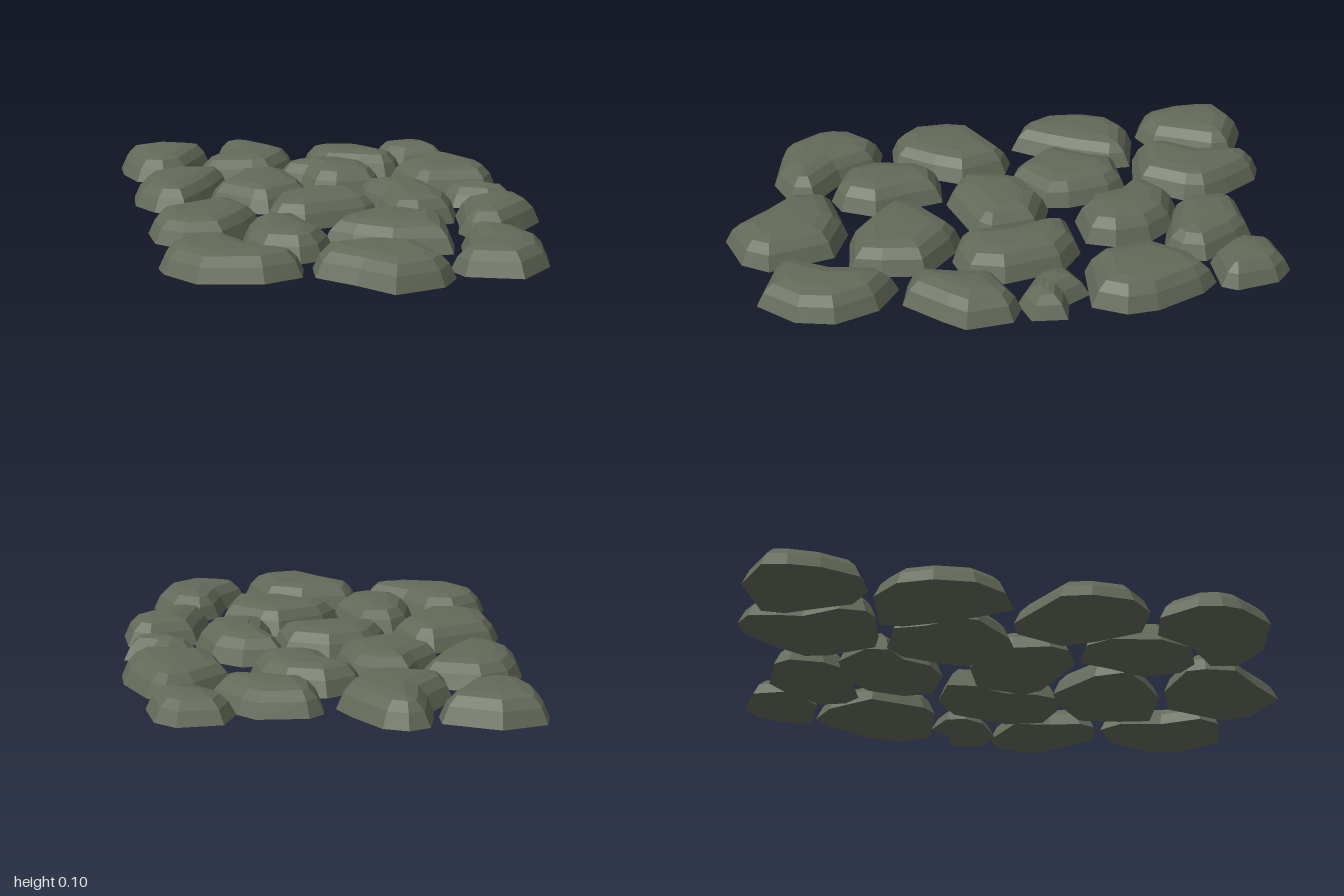
import * as THREE from 'three';

const stoneGrey = new THREE.MeshStandardMaterial({ color: 0x636a59 });

// Side profile shared by all stones: [inset, share of the height]
const PROFILE = [[0, 0.03], [0.022, 0.55], [0.05, 0.86], [0.09, 0.97]];

// Shrinks a clockwise outline by moving each corner along its mean edge normal
function inset(pts, d) {
  const n = pts.length;
  const normal = (a, b) => new THREE.Vector2(b.y - a.y, a.x - b.x).normalize();
  return pts.map((p, i) => {
    const n1 = normal(pts[(i + n - 1) % n], p), n2 = normal(p, pts[(i + 1) % n]);
    const m = n1.clone().add(n2).normalize();
    return p.clone().addScaledVector(m, -d / Math.max(0.75, m.dot(n1)));
  });
}

// One faceted stone: outline in hundredths (x, z pairs, clockwise from above)
function makeStone(name, height, tiltX, tiltZ, outline) {
  const pts = [];
  for (let i = 0; i < outline.length; i += 2) {
    pts.push(new THREE.Vector2(outline[i] / 100, outline[i + 1] / 100));
  }
  const n = pts.length;
  const c = pts.reduce((s, p) => s.add(p), new THREE.Vector2()).divideScalar(n);

  // Rings climb the profile; the tilt grows with height so the base stays flat
  const rings = PROFILE.map(([d, t], k) => inset(pts, d).map(p => {
    const lean = k ? t * (tiltX * (p.x - c.x) + tiltZ * (p.y - c.y)) : 0;
    return [p.x, height * t + lean, p.y];
  }));
  const top = [c.x, height, c.y], base = [c.x, 0, c.y];

  const pos = [];
  const tri = (...corners) => corners.forEach(v => pos.push(...v));
  for (let i = 0; i < n; i++) {
    const j = (i + 1) % n;
    for (let k = 0; k < rings.length - 1; k++) {
      const lo = rings[k], hi = rings[k + 1];
      tri(lo[j], lo[i], hi[i]);
      tri(lo[j], hi[i], hi[j]);
    }
    const last = rings[rings.length - 1];
    tri(last[j], last[i], top);
    tri(rings[0][i], rings[0][j], base);
  }
  const geo = new THREE.BufferGeometry();
  geo.setAttribute('position', new THREE.Float32BufferAttribute(pos, 3));
  geo.computeVertexNormals(); // unshared corners keep the facets flat
  const mesh = new THREE.Mesh(geo, stoneGrey);
  mesh.name = name;
  return mesh;
}

export function createModel() {
  const group = new THREE.Group();
  group.name = 'steppingStones';
  const stone = (...args) => group.add(makeStone(...args));

  // Back row
  stone('backStone1', 0.098, 0.01, -0.02, [-67, -95, -52, -100, -34, -92, -34, -84, -40, -73, -45, -63, -55, -59, -65, -63, -69, -76, -69, -87]);
  stone('backStone2', 0.1, 0.02, 0.01, [-23, -99, -15, -96, -7, -84, -2, -74, -4, -66, -14, -51, -22, -51, -37, -54, -41, -58, -41, -67, -33, -78, -32, -87, -30, -96]);
  stone('backStone3', 0.098, -0.02, 0.02, [7, -84, 24, -84, 30, -78, 39, -64, 36, -55, 30, -51, 20, -54, 6, -59, 2, -67, 2, -79]);
  stone('backStone4', 0.09, 0.02, 0.02, [34, -89, 49, -91, 56, -85, 59, -70, 56, -65, 40, -65, 33, -72, 30, -78]);

  // Second row
  stone('upperStone1', 0.096, 0.02, 0, [-63, -51, -52, -57, -32, -52, -32, -44, -38, -31, -44, -21, -52, -10, -63, -15, -69, -26, -68, -40]);
  stone('upperStone2', 0.1, 0.01, -0.02, [-30, -47, -14, -47, -8, -40, -5, -24, -6, -15, -23, -4, -30, -7, -42, -20, -42, -26, -34, -37]);
  stone('upperStone3', 0.104, 0.01, 0.01, [0, -62, 15, -58, 23, -48, 25, -35, 21, -25, 5, -24, -3, -30, -6, -40, -13, -46, -12, -54]);
  stone('upperStone4', 0.1, 0.02, 0.01, [42, -60, 53, -64, 59, -58, 67, -41, 68, -30, 62, -19, 39, -21, 34, -26, 30, -46]);

  // Middle rows
  stone('middleStone1', 0.095, 0.01, 0.01, [-65, 3, -42, -8, -34, -5, -28, 12, -34, 23, -44, 36, -59, 35, -67, 27, -68, 13]);
  stone('middleStone2', 0.1, 0.02, -0.01, [-19, -11, -4, -16, 12, -10, 15, 8, 10, 13, -14, 20, -25, 15, -27, 8, -23, -5]);
  stone('middleStone3', 0.104, 0, -0.01, [12, -21, 27, -22, 38, -14, 43, 7, 39, 20, 26, 23, 16, 20, 14, 12, 15, 0, 11, -11]);
  stone('middleStone4', 0.085, 0.02, -0.02, [43, -16, 54, -20, 59, -12, 68, -10, 67, 2, 56, 5, 44, -2, 41, -9]);
  stone('middleStone5', 0.1, 0.02, 0.01, [42, 10, 59, 4, 67, 8, 69, 24, 63, 31, 51, 43, 39, 40, 37, 34, 40, 23]);

  // Lower row
  stone('lowerStone1', 0.1, -0.01, 0.01, [-30, 20, -16, 21, -13, 34, -9, 46, -15, 58, -23, 61, -36, 56, -40, 44, -37, 27]);
  stone('lowerStone2', 0.102, 0.01, -0.01, [-6, 29, 12, 18, 20, 21, 34, 33, 32, 48, 29, 59, 8, 57, -4, 48, -12, 40]);

  // Front row
  stone('frontStone1', 0.094, 0.01, 0, [-67, 49, -56, 39, -43, 42, -36, 56, -23, 67, -25, 76, -38, 81, -59, 77, -68, 64, -69, 57]);
  stone('frontStone2', 0.098, 0.01, -0.01, [-17, 60, 2, 57, 17, 63, 23, 86, 17, 95, 0, 100, -10, 88, -21, 77, -20, 66]);
  stone('frontStone3', 0.096, 0, -0.02, [34, 49, 41, 43, 53, 51, 59, 66, 56, 79, 44, 91, 26, 85, 23, 77, 31, 64]);

  return group;
}
